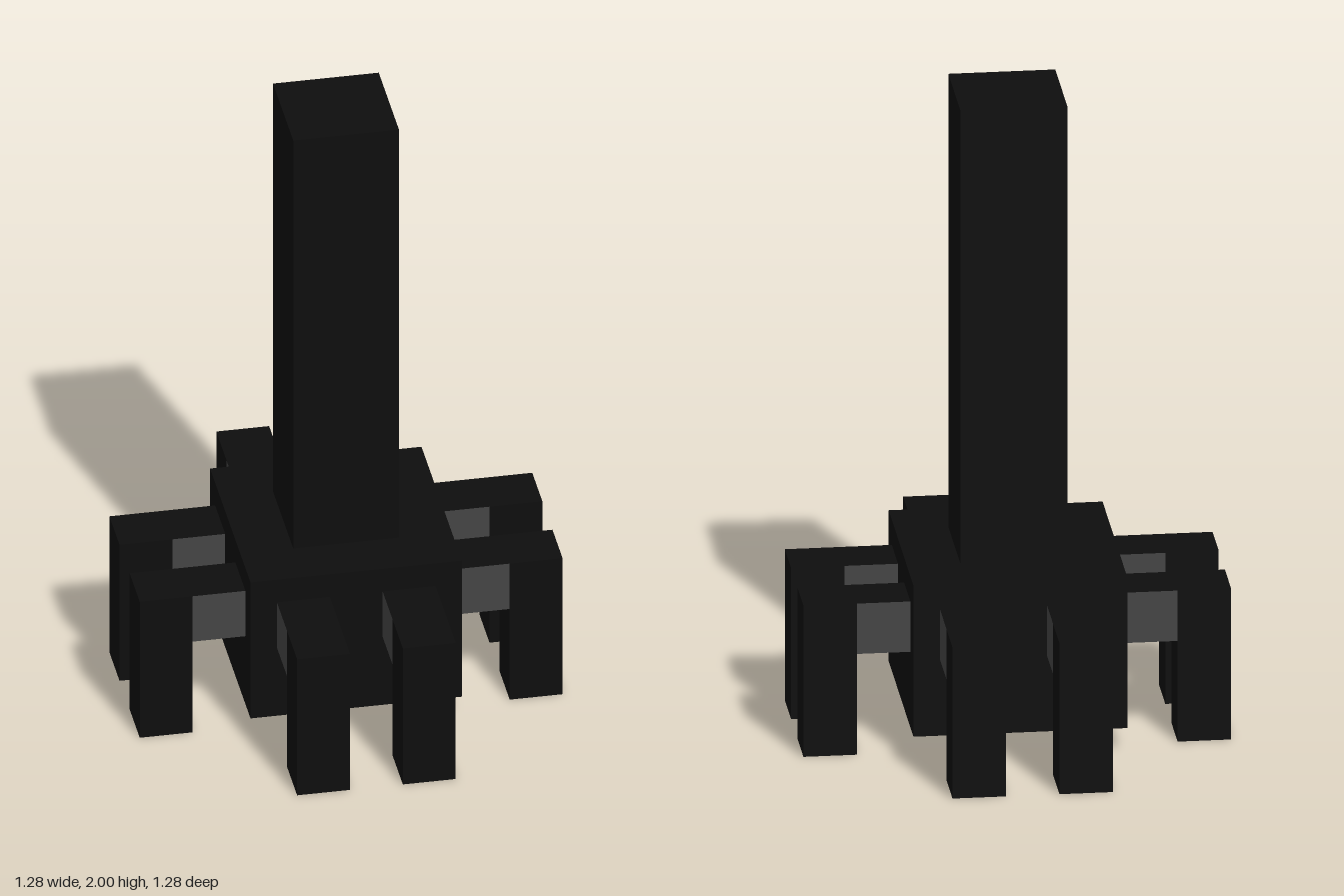
import * as THREE from 'three';

export function createModel() {
  const black = new THREE.MeshStandardMaterial({ color: 0x0e0e0e });
  black.name = 'black';
  const grey = new THREE.MeshStandardMaterial({ color: 0x454545 });
  grey.name = 'grey';

  const model = new THREE.Group();
  model.name = 'leggedTower';

  const addBox = (parent, name, size, position, material = black) => {
    const mesh = new THREE.Mesh(new THREE.BoxGeometry(...size), material);
    mesh.position.set(...position);
    mesh.name = name;
    parent.add(mesh);
  };

  // Central block and the tall square shaft on it
  addBox(model, 'body', [0.64, 0.48, 0.64], [0, 0.32, 0]);
  addBox(model, 'shaft', [0.32, 1.44, 0.32], [0, 1.28, 0]);

  // Arms have grey flanks; the box sides run +x, -x, +y, -y, +z, -z
  const armMaterials = [grey, grey, black, black, black, black];

  // A pair of bent legs on each of the four sides
  ['front', 'left', 'back', 'right'].forEach((side, i) => {
    const pair = new THREE.Group();
    pair.name = side + 'Legs';
    pair.rotation.y = (i * Math.PI) / 2;
    for (const x of [-0.16, 0.16]) {
      addBox(pair, 'arm', [0.16, 0.16, 0.16], [x, 0.4, 0.4], armMaterials);
      addBox(pair, 'leg', [0.16, 0.48, 0.16], [x, 0.24, 0.56]);
    }
    model.add(pair);
  });

  return model;
}
